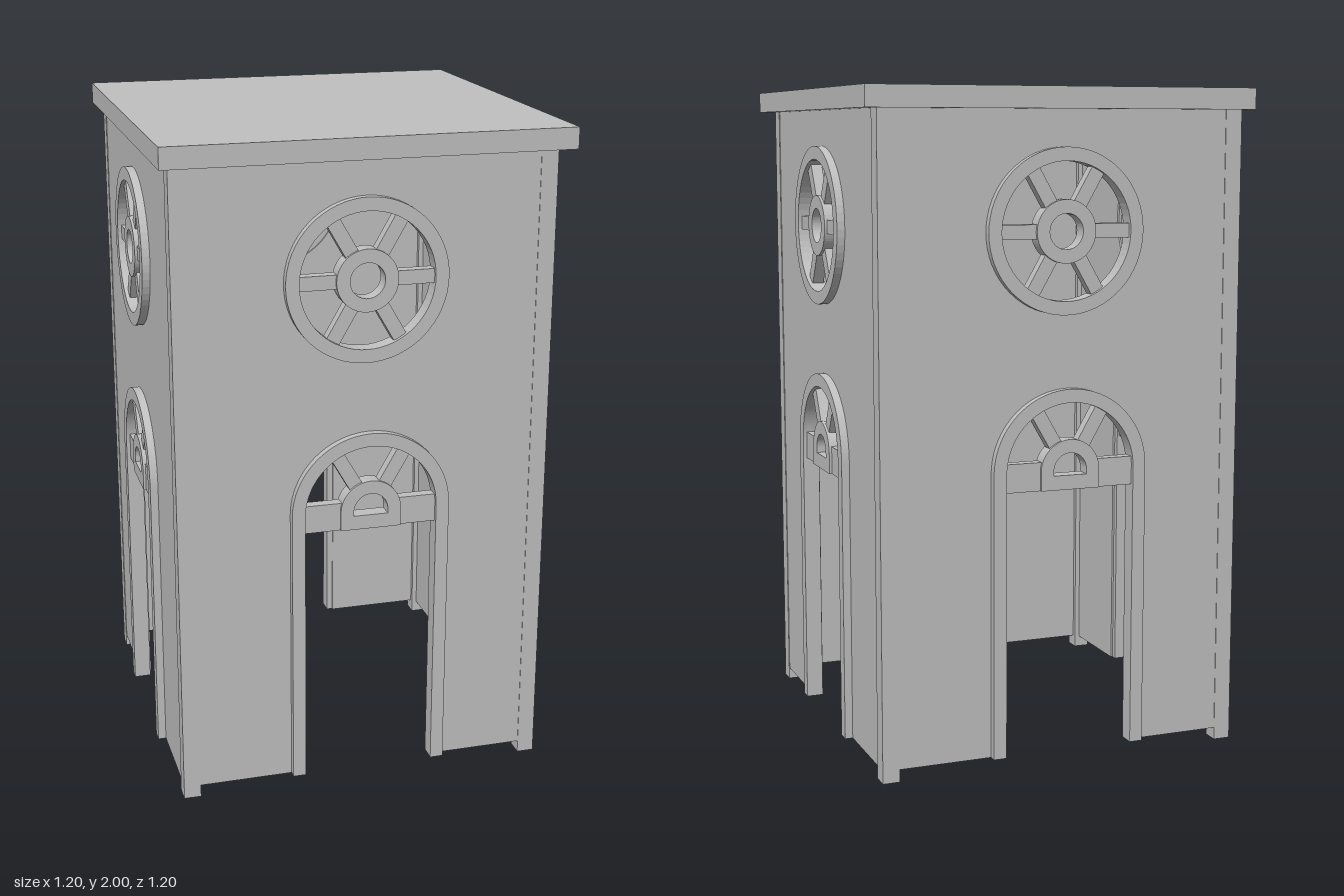
import * as THREE from 'three';

const WALL_BOTTOM = 0.037, WALL_TOP = 1.937;
const HALF = 0.566, POST = 0.052;      // outer half width of the tower, post size
const DOOR = { x: 0.012, y: 0.891, sill: 0.834 };
const ROSE = { x: -0.004, y: 1.589 };
const R_OUT = 0.241, R_IN = 0.201, HUB_OUT = 0.092, HUB_IN = 0.052, SPOKE = 0.042;

// Arch outline: straight legs from y = bottom, half circle of radius r on top
function archPath(path, x, y, r, bottom) {
  path.moveTo(x - r, bottom);
  path.lineTo(x + r, bottom);
  path.lineTo(x + r, y);
  path.absarc(x, y, r, 0, Math.PI, false);
  path.lineTo(x - r, bottom);
  return path;
}

// Band between two arches, open at the bottom
function archBand(x, y, rOut, rIn, bottom) {
  const s = new THREE.Shape();
  s.moveTo(x + rIn, bottom);
  s.lineTo(x + rOut, bottom);
  s.lineTo(x + rOut, y);
  s.absarc(x, y, rOut, 0, Math.PI, false);
  s.lineTo(x - rOut, bottom);
  s.lineTo(x - rIn, bottom);
  s.lineTo(x - rIn, y);
  s.absarc(x, y, rIn, Math.PI, 0, true);
  s.lineTo(x + rIn, bottom);
  return s;
}

function ring(x, y, rOut, rIn) {
  const s = new THREE.Shape();
  s.absarc(x, y, rOut, 0, Math.PI * 2, false);
  s.holes.push(new THREE.Path().absarc(x, y, rIn, 0, Math.PI * 2, true));
  return s;
}

export function createModel() {
  const model = new THREE.Group();
  model.name = 'tower';
  const stone = new THREE.MeshStandardMaterial({ color: 0xc0c0c0 });
  stone.name = 'grey stone';

  const add = (parent, name, geometry, x = 0, y = 0, z = 0) => {
    const mesh = new THREE.Mesh(geometry, stone);
    mesh.name = name;
    mesh.position.set(x, y, z);
    parent.add(mesh);
    return mesh;
  };
  // Extrude a flat outline from z0 to z1
  const slab = (parent, name, shape, z0, z1) => add(parent, name,
    new THREE.ExtrudeGeometry(shape, { depth: z1 - z0, bevelEnabled: false, curveSegments: 32 }), 0, 0, z0);
  const box = (parent, name, w, h, d, x, y, z) =>
    add(parent, name, new THREE.BoxGeometry(w, h, d), x, y, z);
  // Spoke reaching from the hub to the rim
  const spoke = (parent, c, angle) => {
    const r0 = HUB_OUT - 0.01, r1 = R_IN + 0.01, mid = (r0 + r1) / 2;
    box(parent, 'spoke', r1 - r0, SPOKE, 0.034,
      c.x + mid * Math.cos(angle), c.y + mid * Math.sin(angle), HALF - 0.007).rotation.z = angle;
  };

  // Roof slab
  box(model, 'roof', 1.204, 2 - WALL_TOP, 1.204, 0, (2 + WALL_TOP) / 2, 0);

  const body = new THREE.Group();
  body.name = 'body';
  body.position.set(-0.006, 0, -0.006);
  model.add(body);

  const z0 = HALF - 0.03, z1 = HALF + 0.022;   // depth of the frames
  for (let i = 0; i < 4; i++) {
    const side = new THREE.Group();
    side.name = 'side' + (i + 1);
    side.rotation.y = i * Math.PI / 2;
    body.add(side);

    // Corner post, reaching the ground
    const p = HALF - POST / 2;
    box(side, 'cornerPost', POST, WALL_TOP, POST, p, WALL_TOP / 2, p);

    // Wall panel with doorway and round window cut out
    const e = HALF - POST, rCut = (R_OUT + R_IN) / 2;
    const wall = new THREE.Shape();
    wall.moveTo(-e, WALL_BOTTOM);
    wall.lineTo(DOOR.x - rCut, WALL_BOTTOM);
    wall.lineTo(DOOR.x - rCut, DOOR.y);
    wall.absarc(DOOR.x, DOOR.y, rCut, Math.PI, 0, true);
    wall.lineTo(DOOR.x + rCut, WALL_BOTTOM);
    wall.lineTo(e, WALL_BOTTOM);
    wall.lineTo(e, WALL_TOP);
    wall.lineTo(-e, WALL_TOP);
    wall.holes.push(new THREE.Path().absarc(ROSE.x, ROSE.y, rCut, 0, Math.PI * 2, true));
    slab(side, 'wall', wall, HALF - 0.036, HALF - 0.002);

    // Round window
    const rose = new THREE.Group();
    rose.name = 'roundWindow';
    side.add(rose);
    slab(rose, 'rim', ring(ROSE.x, ROSE.y, R_OUT, R_IN), z0, z1);
    slab(rose, 'hub', ring(ROSE.x, ROSE.y, HUB_OUT, HUB_IN), z0, z1 - 0.004);
    for (let k = 0; k < 6; k++) spoke(rose, ROSE, k * Math.PI / 3);

    // Doorway frame with fan window
    const door = new THREE.Group();
    door.name = 'doorway';
    side.add(door);
    slab(door, 'doorFrame', archBand(DOOR.x, DOOR.y, R_OUT, R_IN, WALL_BOTTOM), z0, z1);
    const hub = archPath(new THREE.Shape(), DOOR.x, DOOR.y, HUB_OUT, DOOR.sill);
    hub.holes.push(archPath(new THREE.Path(), DOOR.x, DOOR.y, HUB_IN, 0.877));
    slab(door, 'fanHub', hub, z0, z1 - 0.004);
    for (const s of [-1, 1]) {
      box(door, 'fanBar', R_IN - HUB_OUT + 0.02, 0.085, 0.034,
        DOOR.x + s * (R_IN + HUB_OUT) / 2, DOOR.sill + 0.0425, HALF - 0.007);
      spoke(door, DOOR, Math.PI / 2 + s * Math.PI / 6);
    }
  }
  return model;
}
